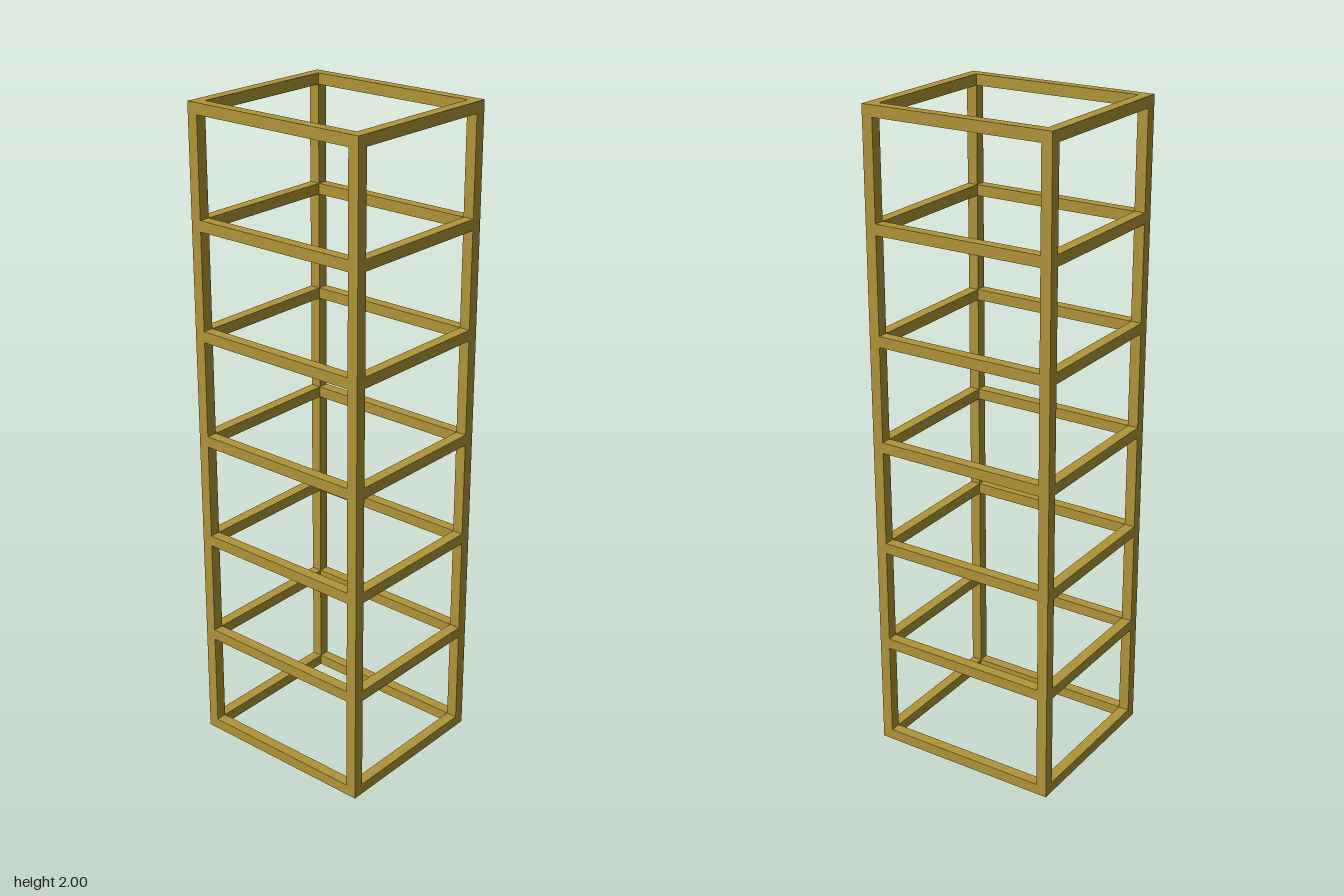
import * as THREE from 'three';

const WIDTH = 0.6, DEPTH = 0.5333, HEIGHT = 2, BAR = 0.0333, BAYS = 6;

export function createModel() {
  const model = new THREE.Group();
  model.name = 'towerFrame';
  const material = new THREE.MeshStandardMaterial({ color: 0xb09538 });

  const addBar = (parent, name, size, position) => {
    const bar = new THREE.Mesh(new THREE.BoxGeometry(...size), material);
    bar.name = name;
    bar.position.set(...position);
    parent.add(bar);
  };

  const x = (WIDTH - BAR) / 2;
  const z = (DEPTH - BAR) / 2;

  // Four full-height corner posts
  for (const sx of [1, -1]) {
    for (const sz of [1, -1]) {
      const name = (sz > 0 ? 'front' : 'back') + (sx > 0 ? 'Left' : 'Right') + 'Post';
      addBar(model, name, [BAR, HEIGHT, BAR], [sx * x, HEIGHT / 2, sz * z]);
    }
  }

  // Seven evenly spaced rings of rails fitted between the posts
  for (let i = 0; i <= BAYS; i++) {
    const ring = new THREE.Group();
    ring.name = `railRing${i + 1}`;
    ring.position.y = BAR / 2 + (i * (HEIGHT - BAR)) / BAYS;
    for (const s of [1, -1]) {
      addBar(ring, s > 0 ? 'frontRail' : 'backRail', [WIDTH - 2 * BAR, BAR, BAR], [0, 0, s * z]);
      addBar(ring, s > 0 ? 'leftRail' : 'rightRail', [BAR, BAR, DEPTH - 2 * BAR], [s * x, 0, 0]);
    }
    model.add(ring);
  }

  return model;
}
